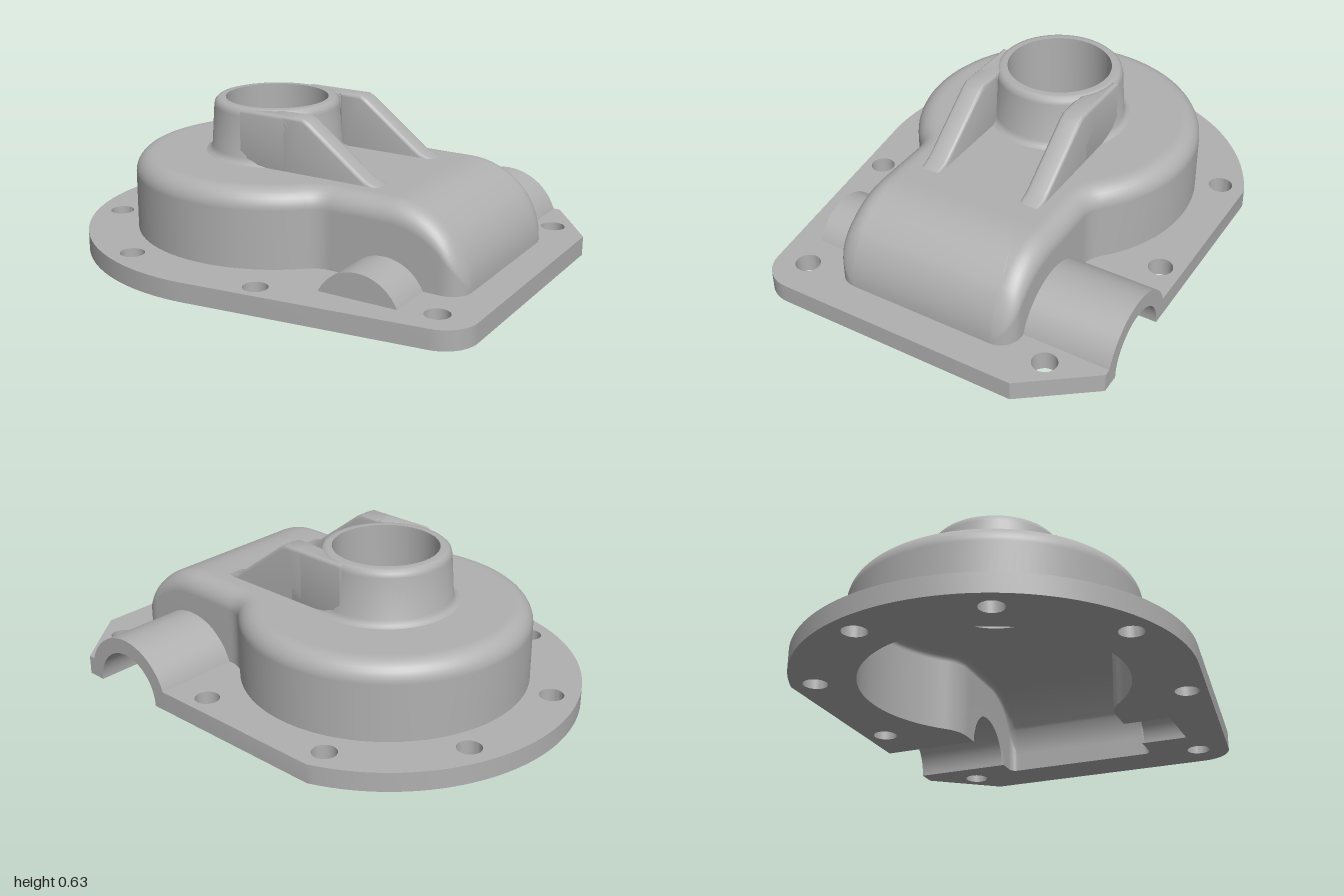
import * as THREE from 'three';
import { toCreasedNormals } from 'three/addons/utils/BufferGeometryUtils.js';

const CX = -0.195, CZ = -0.03;      // bore axis
const PX = 0.54;                    // axis of the shaft channels
const BORE = 0.215, REAR = 0.17, FRONT = 0.13;
const V = (x, y) => new THREE.Vector2(x, y);

function arc(cx, cy, r, a0, a1, n) {
  return Array.from({ length: n + 1 }, (_, i) => {
    const a = a0 + (a1 - a0) * i / n;
    return V(cx + r * Math.cos(a), cy + r * Math.sin(a));
  });
}

// Plan outline of the housing (round body, neck fillets, square end), inset by d.
// Each point is relative to the bore axis; w tells how much of the top fillet applies.
function outline(d) {
  const R = 0.595, h = 0.395, f = 0.12, e = 1.06, c = 0.085;
  const fx = Math.sqrt((R + f) ** 2 - (h + f) ** 2), al = Math.atan2(h + f, fx);
  const half = [];
  const add = (p, w) => half.push({ u: p.x, v: p.y, w });
  arc(0, 0, R - d, Math.PI, al, 44).forEach(p => add(p, 1));
  arc(fx, h + f, f + d, al + Math.PI, Math.PI * 1.5, 8).slice(1).forEach(p => add(p, 1));
  for (let i = 1; i < 32; i++) add(V(fx + (e - c - fx) * i / 32, h - d), 1);
  arc(e - c, h - c, c - d, Math.PI / 2, 0, 8).forEach((p, i) => add(p, Math.cos(i / 8 * Math.PI / 2)));
  for (let i = 1; i <= 8; i++) add(V(e - d, (h - c) * (1 - i / 8)), 0);
  const back = half.slice(1, -1).reverse().map(p => ({ u: p.u, v: -p.v, w: p.w }));
  return [...half, ...back];
}

// One skin of the housing: wall, rounded edge and roof running in to the bore.
function skin(inset, r, baseY, flip) {
  const big = 0.32 - inset, pos = [], idx = [];
  const top = x => 0.08 + Math.sqrt(Math.max(0, big * big - Math.max(0, x - 0.545) ** 2));
  const ring = pts => pts.forEach(p => pos.push(CX + p.u, p.y, CZ + p.v));
  // wall foot, lifted where the shaft channels pass through
  const base = outline(inset);
  ring(base.map(p => {
    const q = p.v > 0 ? FRONT : REAR, dx = CX + p.u - PX;
    const lift = p.w === 1 && Math.abs(dx) < q ? Math.sqrt(q * q - dx * dx) : 0;
    return { ...p, y: Math.max(baseY, lift) };
  }));
  let last;
  for (let k = 0; k <= 8; k++) {
    const t = k / 8 * Math.PI / 2;
    last = outline(inset + r * (1 - Math.cos(t)) * 0.999);
    ring(last.map(p => ({ ...p, y: Math.max(0.08, top(CX + p.u) - p.w * r * (1 - Math.sin(t))) })));
  }
  for (let k = 1; k <= 20; k++) {
    ring(last.map(p => {
      const s = k / 20, l = Math.hypot(p.u, p.v), m = 1 - s + s * BORE / l;
      return { u: p.u * m, v: p.v * m, y: top(CX + p.u * m) };
    }));
  }
  const n = base.length, rows = pos.length / 3 / n;
  for (let k = 0; k < rows - 1; k++) for (let i = 0; i < n; i++) {
    const a = k * n + i, b = k * n + (i + 1) % n, c = b + n, d = a + n;
    if (flip) idx.push(a, c, b, a, d, c); else idx.push(a, b, c, a, c, d);
  }
  const g = new THREE.BufferGeometry();
  g.setAttribute('position', new THREE.Float32BufferAttribute(pos, 3));
  g.setIndex(idx);
  g.computeVertexNormals();
  return g;
}

// Plan points (x, z) extruded upwards from y0
function slab(points, holes, y0, options) {
  const shape = new THREE.Shape(points.map(p => V(p.x, -p.y)));
  holes.forEach(([x, z, r]) => shape.holes.push(new THREE.Path(arc(x, -z, r, 0, Math.PI * 2, 32).slice(0, -1))));
  const g = new THREE.ExtrudeGeometry(shape, options).rotateX(-Math.PI / 2).translate(0, y0, 0);
  return toCreasedNormals(g, 0.6);
}

// Half round bar or arch along z
function arch(ro, ri, z0, z1) {
  const pts = arc(0, 0, ro, 0, Math.PI, 32);
  if (ri) pts.push(...arc(0, 0, ri, Math.PI, 0, 32));
  const g = new THREE.ExtrudeGeometry(new THREE.Shape(pts), { depth: z1 - z0, bevelEnabled: false });
  return toCreasedNormals(g.translate(PX, 0, z0), 0.6);
}

export function createModel() {
  const model = new THREE.Group();
  model.name = 'gearHousingCover';
  const metal = new THREE.MeshStandardMaterial({ color: 0xb0b0b0 });
  metal.name = 'castGrey';
  const add = (name, g) => {
    const m = new THREE.Mesh(g, metal);
    m.name = name;
    model.add(m);
    return m;
  };

  // Flange: outer edge, then in through the rear channel and round the inner opening
  const edge = [
    V(PX + REAR, -0.785), V(0.79, -0.785), V(1, -0.51),
    ...arc(0.86, 0.51, 0.14, 0, 1.443, 10),
    ...arc(CX, CZ, 0.805, 1.443, 4.358, 72),
    V(PX - REAR, -0.785),
  ];
  const before = [], after = [];
  let pocket = false, passed = false;
  outline(0.055).forEach(p => {
    const x = CX + p.u, z = CZ + p.v, flat = p.w === 1;
    if (flat && z > 0 && Math.abs(x - PX) < FRONT) {
      if (!pocket) before.push(V(PX - FRONT, 0.31), V(PX - FRONT, 0.51), V(PX + FRONT, 0.51), V(PX + FRONT, 0.31));
      pocket = true;
    } else if (flat && z < 0 && Math.abs(x - PX) < REAR) {
      passed = true;
    } else (passed ? after : before).push(V(x, z));
  });
  const inner = [V(PX - REAR, -0.37), ...after, ...before, V(PX + REAR, -0.37)];
  const bolts = [[-0.465, -0.68], [0.155, -0.695], [0.845, -0.565], [0.845, 0.52],
    [0.155, 0.655], [-0.465, 0.62], [-0.84, 0.235], [-0.84, -0.3]].map(([x, z]) => [x, z, 0.05]);
  add('flange', slab([...edge, ...inner], bolts, 0, { depth: 0.08, bevelEnabled: false }));

  // Hollow housing
  add('housingOuter', skin(0, 0.08, 0.07, false));
  add('housingInner', skin(0.055, 0.03, 0, true));

  // Half round shaft channels
  add('rearChannel', arch(0.235, REAR, -0.785, -0.38));
  add('frontChannel', arch(0.185, FRONT, 0.32, 0.565));
  add('frontChannelEnd', arch(0.16, 0, 0.51, 0.565));

  // Bearing tower with its bore
  const tower = [[0.305, 0.398], [0.285, 0.406], [0.274, 0.425], [0.263, 0.595], [0.259, 0.612],
    [0.247, 0.624], [0.235, 0.626], [BORE, 0.626], [BORE, 0.345]].map(([x, y]) => V(x, y));
  add('tower', toCreasedNormals(new THREE.LatheGeometry(tower, 64).translate(CX, 0, CZ), 0.7));

  // Pair of ribs running from the tower down to the roof
  const bevel = { bevelEnabled: true, bevelSize: 0.015, bevelThickness: 0.015, bevelOffset: -0.015, bevelSegments: 3 };
  const ribSide = [[0, 0.37], [0, 0.625], [0.1, 0.625], [0.13, 0.61], [0.36, 0.435], [0.39, 0.415],
    [0.44, 0.4], [0.44, 0.37]].map(([x, y]) => V(x, y));
  for (const s of [1, -1]) {
    const rib = new THREE.ExtrudeGeometry(new THREE.Shape(ribSide), { depth: 0.062, ...bevel });
    rib.translate(0, 0, CZ + (s > 0 ? 0.195 : -0.257));
    add(s > 0 ? 'frontRib' : 'rearRib', toCreasedNormals(rib, 0.6));
    // web joining the round tower to the straight rib
    const web = [V(0, 0.272), V(0.26, 0.272), V(0.26, 0.185), ...arc(0, 0, 0.245, 0.86, Math.PI / 2, 10)]
      .map(p => V(CX + p.x, CZ + s * p.y));
    add(s > 0 ? 'frontRibWeb' : 'rearRibWeb', slab(web, [], 0.375, { depth: 0.235, ...bevel, bevelOffset: -0.015 }));
  }
  return model;
}
